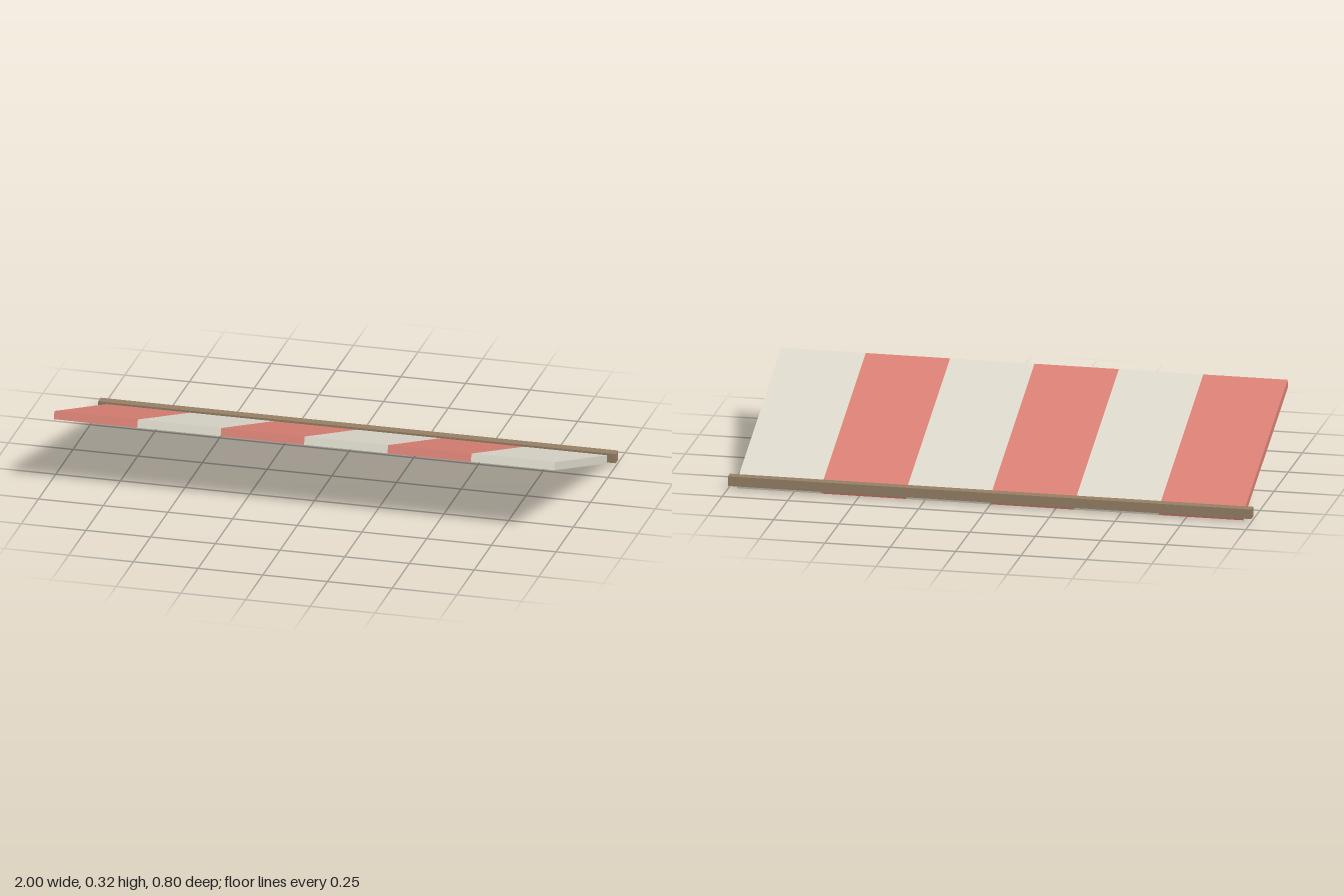
import * as THREE from 'three';

const flat = (name, color) => {
  const m = new THREE.MeshStandardMaterial({ color });
  m.name = name;
  return m;
};

export function createModel() {
  const red = flat('faded red cloth', 0xda8075);
  const cream = flat('cream cloth', 0xdcd8cb);
  const wood = flat('brown wood', 0x957f64);

  const model = new THREE.Group();
  model.name = 'awning';

  // Sloping canopy, made of alternating stripes that rise towards the front
  const canopy = new THREE.Group();
  canopy.name = 'canopy';
  const count = 6, width = 1.934, stripeWidth = width / count;
  const stripeGeometry = new THREE.BoxGeometry(stripeWidth, 0.031, 0.839);
  for (let i = 0; i < count; i++) {
    const stripe = new THREE.Mesh(stripeGeometry, i % 2 ? cream : red);
    stripe.name = i % 2 ? 'creamStripe' : 'redStripe';
    stripe.position.x = -width / 2 + (i + 0.5) * stripeWidth;
    canopy.add(stripe);
  }
  canopy.rotation.x = -THREE.MathUtils.degToRad(20);
  canopy.position.set(0, 0.159, 0.003);
  model.add(canopy);

  // Square rail along the low back edge
  const rail = new THREE.Mesh(new THREE.BoxGeometry(2, 0.037, 0.037), wood);
  rail.name = 'backRail';
  rail.position.set(0, 0.031, -0.383);
  model.add(rail);

  return model;
}
